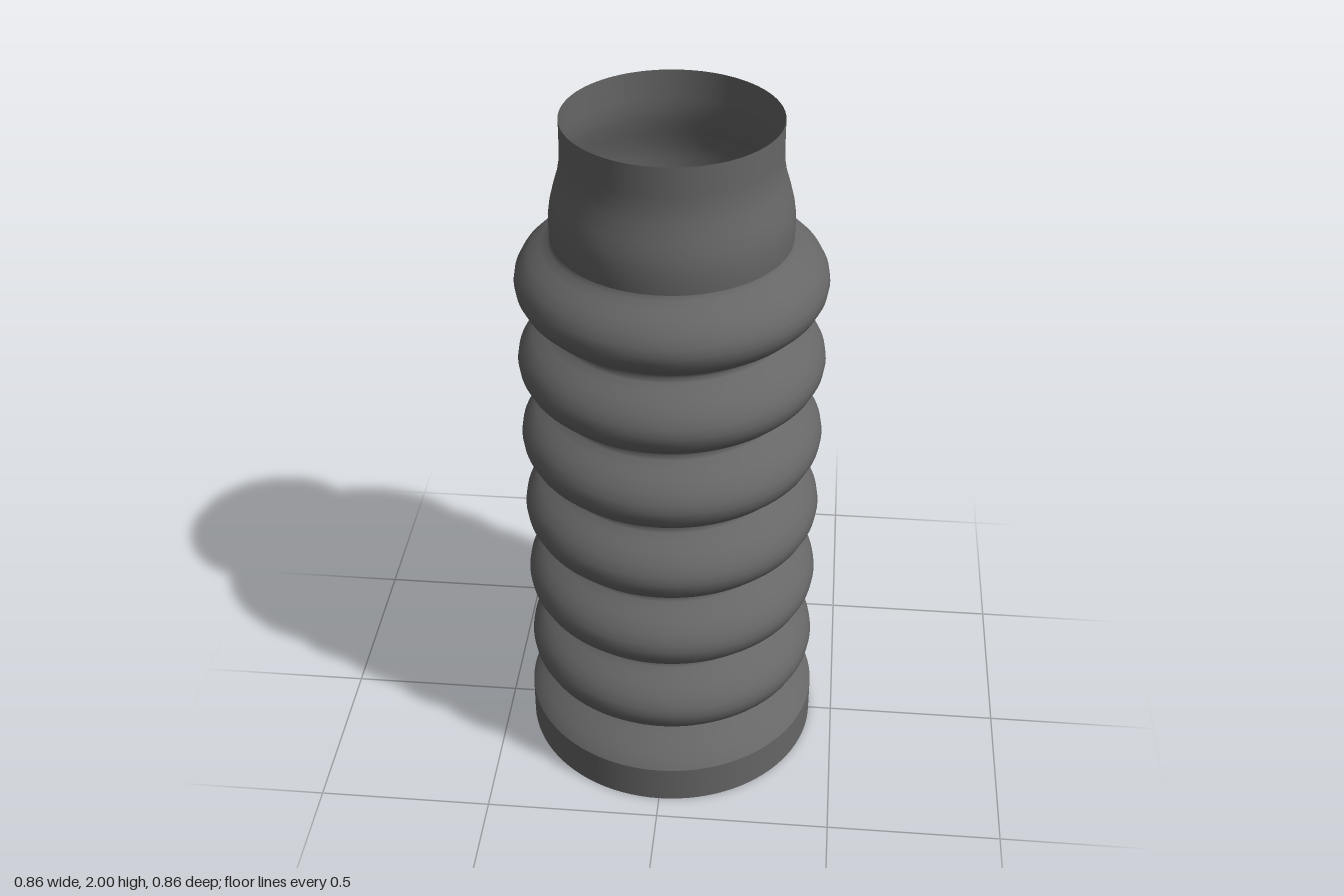
import * as THREE from 'three';

export function createModel() {
  const group = new THREE.Group();
  const rubber = new THREE.MeshStandardMaterial({ color: 0x666666, side: THREE.DoubleSide });
  rubber.name = 'dark grey rubber';

  // Turns a profile of [radius, height] pairs into an open ring of skin
  function addRing(name, profile) {
    const points = profile.map(([r, y]) => new THREE.Vector2(r, y));
    const mesh = new THREE.Mesh(new THREE.LatheGeometry(points, 96), rubber);
    mesh.name = name;
    group.add(mesh);
  }

  const firstValley = 0.2, pitch = 0.244, foldCount = 6;
  // Upper half of a fold: [radius, height as a share of the half pitch]
  const half = [[0.422, 0], [0.418, 0.2], [0.404, 0.42], [0.38, 0.62], [0.35, 0.78], [0.328, 0.9], [0.322, 1]];

  // Straight cuff at the foot, open below
  addRing('baseCuff', [[0.43, 0], [0.43, 0.115]]);
  addRing('baseShoulder', [[0.43, 0.115], [0.419, 0.129], [0.4, 0.146], [0.372, 0.166], [0.345, 0.182], [0.328, 0.193], [0.322, 0.2]]);

  // Stack of bellows folds as one smooth skin
  const bellows = [];
  for (let i = 0; i < foldCount; i++) {
    const middle = firstValley + (i + 0.5) * pitch;
    const lower = half.slice(1).reverse().map(([r, t]) => [r, middle - t * pitch / 2]);
    const upper = half.map(([r, t]) => [r, middle + t * pitch / 2]);
    bellows.push(...(i ? lower.slice(1) : lower), ...upper);
  }
  addRing('bellowsFolds', bellows);

  // Neck that tapers to the open upper sleeve
  const top = firstValley + foldCount * pitch;
  addRing('neckSleeve', [[0.322, top], [0.324, 1.69], [0.324, 1.73], [0.319, 1.765], [0.309, 1.805], [0.297, 1.845], [0.29, 1.885], [0.289, 1.92], [0.289, 2]]);

  return group;
}
